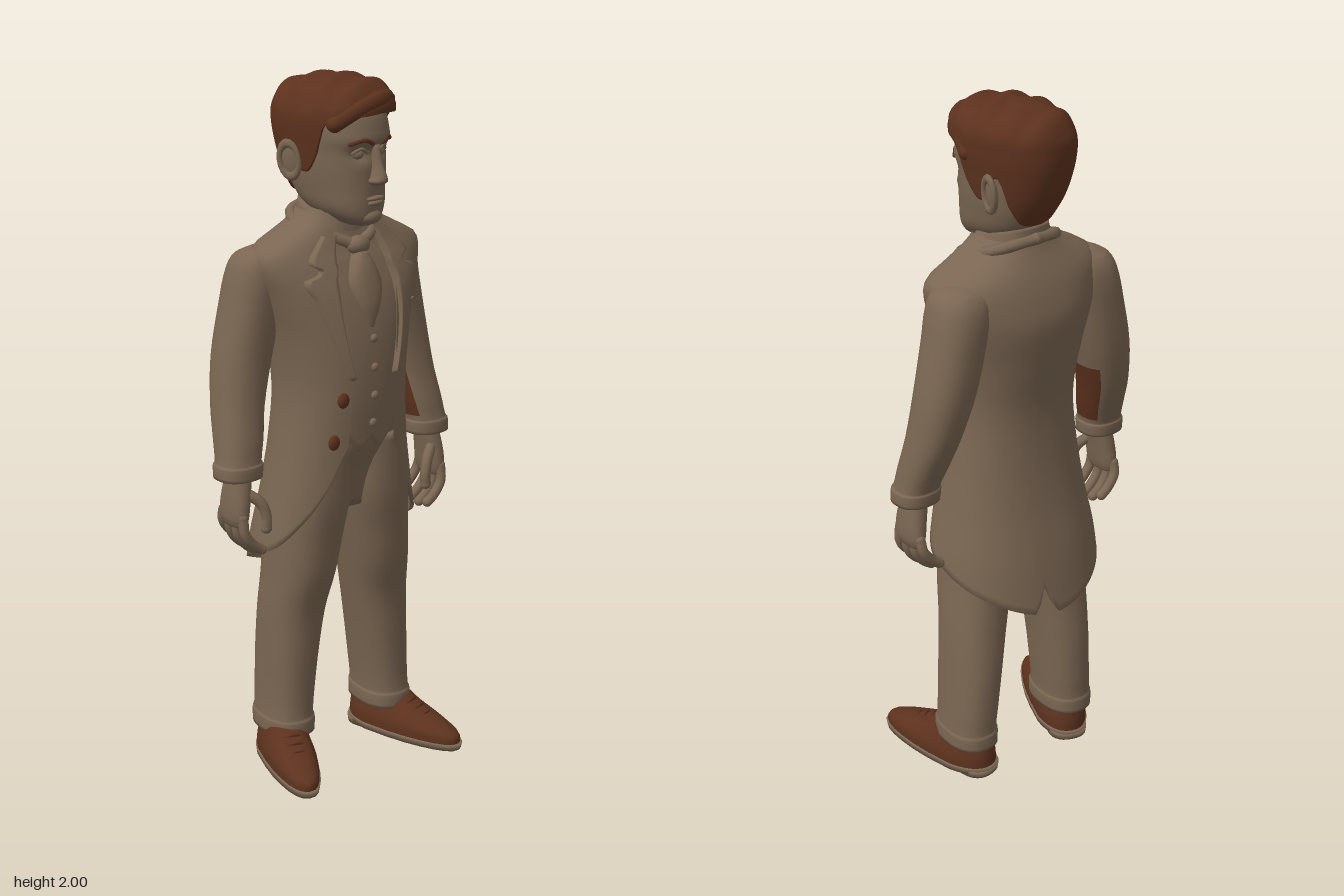
import * as THREE from 'three';
import { mergeVertices } from 'three/addons/utils/BufferGeometryUtils.js';

const cloth = new THREE.MeshStandardMaterial({ name: 'taupe', color: 0x7a6652, side: THREE.DoubleSide });
const brown = new THREE.MeshStandardMaterial({ name: 'chestnut', color: 0x5d321e, side: THREE.DoubleSide });
const E = 0.85; // roundness exponent of every cross-section
const sp = (v) => Math.sign(v) * Math.abs(v) ** E;

// Smoothly interpolate the rows of a table by its first column (height).
function at(T, y) {
  let i = 0;
  while (i < T.length - 2 && y > T[i + 1][0]) i++;
  const a = T[i], b = T[i + 1], p = T[i - 1] || a, q = T[i + 2] || b, h = b[0] - a[0];
  const t = THREE.MathUtils.clamp((y - a[0]) / h, 0, 1), t2 = t * t, t3 = t2 * t;
  return a.map((v, k) => {
    const m0 = (b[k] - p[k]) / (b[0] - p[0]) * h, m1 = (q[k] - v) / (q[0] - a[0]) * h;
    return (2 * t3 - 3 * t2 + 1) * v + (t3 - 2 * t2 + t) * m0 + (3 * t2 - 2 * t3) * b[k] + (t3 - t2) * m1;
  });
}

// Surface from a rule fn(u, v); pick() may send faces to a second material.
function grid(fn, nu, nv, pick) {
  const pos = [], idx = [[], []];
  for (let j = 0; j <= nv; j++) for (let i = 0; i <= nu; i++) pos.push(...fn(i / nu, j / nv, j));
  for (let j = 0; j < nv; j++) for (let i = 0; i < nu; i++) {
    const a = j * (nu + 1) + i, c = a + nu + 1;
    const k = pick && pick(pos[a * 3 + 1], (i + 0.5) / nu) ? 1 : 0;
    idx[k].push(a, a + 1, c, a + 1, c + 1, c);
  }
  let g = new THREE.BufferGeometry();
  g.setAttribute('position', new THREE.Float32BufferAttribute(pos, 3));
  g.setIndex([...idx[0], ...idx[1]]);
  g = mergeVertices(g, 1e-5);
  g.computeVertexNormals();
  if (pick) {
    g.addGroup(0, idx[0].length, 0);
    g.addGroup(idx[0].length, idx[1].length, 1);
  }
  return g;
}

// Closed body through rings [y, cx, cz, rx, zFront, zBack], lowest first.
function loft(T, { n = 28, sub = 4, deform, pick } = {}) {
  const rows = [];
  for (let i = 0; i < T.length - 1; i++)
    for (let k = 0; k < sub; k++) rows.push(at(T, T[i][0] + (T[i + 1][0] - T[i][0]) * k / sub));
  rows.push(T[T.length - 1]);
  const flat = (r) => [r[0], r[1], r[2], 0, 0, 0];
  rows.unshift(flat(rows[0]));
  rows.push(flat(rows[rows.length - 1]));
  return grid((u, v, j) => {
    const [y, cx, cz, rx, zf, zb] = rows[j], s = Math.sin(u * 2 * Math.PI), c = Math.cos(u * 2 * Math.PI);
    const p = [cx + rx * sp(u === 1 ? 0 : s), y, cz + (c > 0 ? zf : zb) * sp(c)];
    return deform ? deform(p) : p;
  }, n, rows.length - 1, pick);
}

function add(parent, name, geo, mat = cloth, p) {
  const m = new THREE.Mesh(geo, mat);
  m.name = name;
  if (p) m.position.set(...p);
  parent.add(m);
  return m;
}
function ball(parent, name, p, s, mat) {
  const m = add(parent, name, new THREE.SphereGeometry(1, 16, 12), mat, p);
  m.scale.set(...s);
  return m;
}
function tube(parent, name, pts, r, mat) {
  const v = pts.map((p) => new THREE.Vector3(...p));
  add(parent, name, new THREE.TubeGeometry(new THREE.CatmullRomCurve3(v), 14, r, 8), mat);
  for (const p of [pts[0], pts[pts.length - 1]]) ball(parent, name + 'End', p, [r, r, r], mat);
}
const part = (parent, name) => { const g = new THREE.Group(); g.name = name; parent.add(g); return g; };

// Coat envelope: height, half width, front depth, back depth
const BODY = [[0.54, 0.27, 0.13, 0.235], [0.7, 0.255, 0.14, 0.21], [0.85, 0.225, 0.15, 0.18], [1, 0.2, 0.158, 0.16],
  [1.15, 0.187, 0.17, 0.155], [1.3, 0.205, 0.165, 0.178], [1.42, 0.24, 0.142, 0.192], [1.5, 0.265, 0.11, 0.175],
  [1.54, 0.255, 0.09, 0.16], [1.57, 0.2, 0.08, 0.145], [1.61, 0.125, 0.07, 0.125], [1.64, 0.1, 0.06, 0.115]];
const HAIR = [[1.66, 0.1, 0.13, 0.1], [1.74, 0.118, 0.14, 0.15], [1.82, 0.13, 0.155, 0.178], [1.88, 0.137, 0.164, 0.185],
  [1.93, 0.132, 0.163, 0.178], [1.97, 0.108, 0.135, 0.145], [1.99, 0.065, 0.085, 0.09], [2, 0, 0, 0]];
const HEAD = [[1.6, 0, 0.07, 0.03, 0.045, 0.05], [1.615, 0, 0.06, 0.06, 0.07, 0.08], [1.65, 0, 0.03, 0.09, 0.105, 0.12],
  [1.7, 0, 0, 0.104, 0.135, 0.13], [1.75, 0, -0.01, 0.112, 0.145, 0.14], [1.8, 0, -0.02, 0.116, 0.157, 0.15],
  [1.86, 0, -0.02, 0.118, 0.163, 0.16], [1.92, 0, -0.02, 0.108, 0.138, 0.15], [1.97, 0, -0.02, 0.07, 0.08, 0.1]];

const depth = (x, rx, zf) => zf * Math.max(0, 1 - (Math.abs(x) / rx) ** (2 / E)) ** (E / 2);
const chest = (x, y, off = 0) => { const r = at(BODY, y); return [x, y, depth(x, r[1], r[2]) + off]; };
const face = (x, y, off = 0) => { const r = at(HEAD, y); return [x, y, r[2] + depth(x, r[3], r[4]) + off]; };

// Open shell around a table, its lower edge hem(phi) given by the angle from the front.
function shell(T, hem, open, top, tuck, deform) {
  return grid((u, v) => {
    const phi = open + u * 2 * (Math.PI - open), low = hem(phi);
    const y = low + (top - low) * Math.max(0, v - 0.02) / 0.98, r = at(T, y);
    const k = v === 0 ? tuck : 1, c = Math.cos(phi);
    const p = [k * r[1] * sp(Math.sin(phi)), y, k * (c > 0 ? r[2] : r[3]) * sp(c)];
    return deform ? deform(p) : p;
  }, 90, 50);
}
const bothSides = (T) => (phi) => at(T, Math.min(phi, 2 * Math.PI - phi))[1];

function buildHead(parent) {
  const head = part(parent, 'head');
  head.rotation.y = 0.25;
  add(head, 'face', loft(HEAD, { n: 56, sub: 6, deform: ([x, y, z]) => {
    const socket = Math.exp(-(((Math.abs(x) - 0.043) / 0.026) ** 2) - ((y - 1.797) / 0.02) ** 2);
    const brow = Math.exp(-(((y - 1.832) / 0.016) ** 2));
    return [x, y, z > 0.03 ? z - 0.02 * socket + 0.006 * brow : z];
  } }));
  add(head, 'nose', loft([[1.712, 0, 0.128, 0.014, 0.025, 0.02], [1.722, 0, 0.128, 0.026, 0.043, 0.02],
    [1.735, 0, 0.128, 0.02, 0.045, 0.02], [1.77, 0, 0.125, 0.013, 0.034, 0.02], [1.82, 0, 0.125, 0.012, 0.022, 0.02]], { n: 16 }));
  ball(head, 'upperLip', face(0, 1.676), [0.034, 0.007, 0.012]);
  ball(head, 'lowerLip', face(0, 1.664), [0.028, 0.008, 0.013]);
  ball(head, 'chin', face(0, 1.625, -0.015), [0.038, 0.022, 0.025]);
  for (const s of [-1, 1]) {
    ball(head, 'eye', face(s * 0.043, 1.795, -0.026), [0.021, 0.015, 0.02]);
    tube(head, 'eyelid', [0.024, 0.043, 0.064].map((x, i) => face(s * x, [1.8, 1.811, 1.8][i], -0.008)), 0.005);
    tube(head, 'eyebrow', [0.02, 0.045, 0.078].map((x, i) => face(s * x, [1.825, 1.836, 1.826][i], 0.004)), 0.006, brown);
    const ear = part(head, 'ear');
    ear.position.set(s * 0.125, 1.768, -0.055);
    ear.rotation.set(-0.12, s * -0.35, s * -0.12);
    ball(ear, 'earBowl', [0, 0, 0], [0.012, 0.05, 0.028]);
    const rim = add(ear, 'earRim', new THREE.TorusGeometry(0.028, 0.008, 8, 20), cloth, [s * 0.008, 0.006, 0]);
    rim.rotation.y = Math.PI / 2;
    rim.scale.y = 1.6;
  }
  const hem = [[0, 1.905], [0.7, 1.895], [1.15, 1.875], [1.35, 1.79], [1.6, 1.745], [1.85, 1.82], [2.1, 1.74], [2.5, 1.685], [3.15, 1.67]];
  add(head, 'hair', shell(HAIR, bothSides(hem), 0, 2, 0.85, ([x, y, z]) => {
    const w = THREE.MathUtils.smoothstep(y, 1.88, 1.95);
    return [x + 0.006 * w, y + w * 0.005 * (Math.sin(z * 75 + x * 18) - 1), z - 0.01];
  }), brown);
  // Swept fringe hanging over the left temple
  tube(head, 'quiff', [[-0.105, 1.88, 0.085], [-0.055, 1.92, 0.128], [0.03, 1.937, 0.13], [0.095, 1.92, 0.09], [0.118, 1.865, 0.035]], 0.023, brown);
}

function buildTorso(parent) {
  const core = BODY.slice(3).map(([y, rx, f, b]) => [y, 0, 0, rx * 0.9, f * 0.9, b * 0.9]);
  add(parent, 'shirtAndHips', loft([[0.8, 0, 0, 0.09, 0.09, 0.11], [0.91, 0, 0, 0.165, 0.115, 0.14], ...core]));
  const hem = bothSides([[0, 1.02], [0.35, 0.99], [0.6, 0.88], [0.85, 0.805], [1.2, 0.735], [1.57, 0.69], [2.4, 0.605], [2.95, 0.55], [3.15, 0.54]]);
  const vent = (phi) => 0.09 * Math.max(0, 1 - Math.abs(phi - 3.02) / 0.1);
  add(parent, 'tailcoat', shell(BODY, (phi) => hem(phi) + vent(phi), 0.35, 1.635, 0.95));
  // Waistcoat with pointed hem and V neck
  add(parent, 'waistcoat', grid((u, v) => {
    const x = (u - 0.5) * 0.22, a = Math.abs(x), low = 0.965 + Math.abs(a - 0.035) * 1.1, top = 1.33 + a * 1.9;
    return chest(x, low + (top - low) * v, v === 0 ? -0.03 : -0.008);
  }, 28, 24));
  for (const y of [1.3, 1.22, 1.14, 1.06]) ball(parent, 'waistcoatButton', chest(0, y, -0.004), [0.012, 0.012, 0.008]);
  ball(parent, 'coatButton', chest(-0.1, 1.14, 0.002), [0.019, 0.022, 0.01], brown);
  ball(parent, 'coatButton', chest(-0.12, 1.02, 0.002), [0.019, 0.022, 0.01], brown);
  // Lapels: a raised band between an inner and an outer edge
  const outer = [[1.19, 0.085], [1.3, 0.125], [1.42, 0.17], [1.47, 0.192], [1.485, 0.15], [1.5, 0.145], [1.515, 0.17], [1.58, 0.11]];
  for (const s of [-1, 1]) {
    add(parent, 'lapel', grid((u, v) => {
      const y = 1.19 + 0.39 * v, inner = 0.066 + 0.03 * Math.sin(v * Math.PI);
      const w = s > 0 ? u : 1 - u, x = inner + (at(outer, y)[1] - inner) * w;
      return chest(s * x, y, w === 0 || w === 1 || v === 0 ? -0.008 : 0.012);
    }, 10, 40));
    tube(parent, 'coatCollar', [[s * 0.115, 1.53, 0.07], [s * 0.122, 1.58, 0], [s * 0.093, 1.62, -0.088], [0, 1.635, -0.118]], 0.016);
  }
  const pocket = add(parent, 'breastPocket', new THREE.BoxGeometry(0.055, 0.016, 0.009), cloth, chest(0.155, 1.37, 0.003));
  pocket.rotation.set(-0.15, 0.55, 0.1);
  // Cravat, shirt collar and neck
  add(parent, 'cravat', loft([[1.33, 0, 0.14, 0.008, 0.015, 0.02], [1.39, 0, 0.132, 0.038, 0.026, 0.02],
    [1.45, 0, 0.115, 0.052, 0.032, 0.02], [1.5, 0, 0.1, 0.036, 0.032, 0.02], [1.53, 0, 0.09, 0.018, 0.025, 0.02]]));
  ball(parent, 'cravatKnot', [0, 1.545, 0.09], [0.036, 0.026, 0.026]);
  for (const s of [-1, 1]) tube(parent, 'cravatBand', [[s * 0.02, 1.55, 0.085], [s * 0.07, 1.575, 0.058], [s * 0.092, 1.61, 0]], 0.016);
  add(parent, 'shirtCollar', loft([[1.52, 0, -0.015, 0.108, 0.085, 0.105], [1.6, 0, -0.015, 0.1, 0.085, 0.1], [1.635, 0, -0.015, 0.092, 0.082, 0.098]],
    { deform: ([x, y, z]) => [x, y - z * 0.3, z] }));
  add(parent, 'neck', loft([[1.5, 0, -0.015, 0.08, 0.08, 0.085], [1.6, 0, -0.01, 0.078, 0.078, 0.085], [1.72, 0, -0.01, 0.08, 0.07, 0.09]]));
}

function buildArm(parent, s) {
  const arm = part(parent, s > 0 ? 'leftArm' : 'rightArm');
  const rings = [[0.93, 0.335, -0.012, 0.066, 0.062], [0.965, 0.333, -0.014, 0.067, 0.063], [0.972, 0.332, -0.015, 0.062, 0.059],
    [1.03, 0.32, -0.03, 0.066, 0.065], [1.12, 0.303, -0.055, 0.07, 0.073], [1.25, 0.275, -0.072, 0.08, 0.08], [1.4, 0.24, -0.072, 0.082, 0.085],
    [1.48, 0.222, -0.067, 0.082, 0.084], [1.525, 0.212, -0.062, 0.07, 0.068], [1.545, 0.205, -0.058, 0.035, 0.035]];
  // Narrow brown panel on the inner forearm
  const pick = (y, u) => y > 0.975 && y < 1.17 && -s * Math.sin(u * 2 * Math.PI) > 0.76;
  add(arm, 'sleeve', loft(rings.map(([y, x, z, rx, rz]) => [y, s * x, z, rx, rz, rz]), { n: 32, pick }), [cloth, brown]);
  const hand = part(arm, 'hand');
  add(hand, 'palm', loft([[0.795, s * 0.352, -0.01, 0.018, 0.045, 0.045], [0.82, s * 0.352, -0.01, 0.026, 0.056, 0.054],
    [0.87, s * 0.347, -0.01, 0.03, 0.054, 0.05], [0.94, s * 0.335, -0.01, 0.032, 0.04, 0.04]]));
  [0, 1, 2, 3].forEach((i) => {
    const z = 0.036 - i * 0.031, d = [0.008, 0, 0.004, 0.022][i];
    tube(hand, 'finger', [[s * 0.355, 0.825, z], [s * 0.352, 0.77 + d, z * 1.15], [s * 0.325, 0.733 + d, z * 1.2], [s * 0.3, 0.715 + d, z * 1.2]], 0.0145);
  });
  tube(hand, 'thumb', [[s * 0.335, 0.89, 0.02], [s * 0.3, 0.86, 0.042], [s * 0.286, 0.82, 0.05], [s * 0.287, 0.785, 0.05]], 0.0155);
}

function buildLeg(parent, s) {
  const leg = part(parent, s > 0 ? 'leftLeg' : 'rightLeg');
  const rings = [[0.1, 0.17, -0.06, 0.077, 0.106, 0.108], [0.14, 0.17, -0.06, 0.077, 0.106, 0.108], [0.15, 0.17, -0.06, 0.073, 0.101, 0.104],
    [0.22, 0.165, -0.06, 0.074, 0.101, 0.106], [0.35, 0.155, -0.05, 0.079, 0.1, 0.114], [0.48, 0.142, -0.04, 0.087, 0.102, 0.112],
    [0.6, 0.126, -0.02, 0.093, 0.115, 0.125], [0.72, 0.112, -0.01, 0.1, 0.123, 0.14], [0.82, 0.1, 0, 0.104, 0.128, 0.14],
    [0.92, 0.093, 0, 0.1, 0.133, 0.135], [1.01, 0.085, 0, 0.092, 0.135, 0.125]];
  // Both feet stand slightly towards the model's left
  const shift = (y) => 0.02 * THREE.MathUtils.clamp((0.8 - y) / 0.6, 0, 1);
  add(leg, 'trouserLeg', loft(rings.map(([y, x, ...r]) => [y, s * x + shift(y), ...r])));
  const shoe = part(leg, 'shoe');
  shoe.position.set(s * 0.176 + 0.018, 0, -0.06);
  shoe.rotation.y = s * 0.29;
  // Narrow the plan towards heel and toe
  const taper = ([x, y, z]) => [x * (1 - 0.1 * Math.max(0, (z - 0.12) / 0.18) - 0.18 * Math.max(0, -z / 0.1)), y, z];
  add(shoe, 'shoeUpper', loft([[0.025, 0, 0, 0.073, 0.298, 0.1], [0.055, 0, 0, 0.073, 0.29, 0.1], [0.08, 0, 0, 0.068, 0.23, 0.097],
    [0.105, 0, 0, 0.061, 0.15, 0.092], [0.135, 0, 0, 0.052, 0.09, 0.085]], { deform: taper }), brown);
  add(shoe, 'sole', loft([[0.01, 0, 0, 0.074, 0.3, 0.104], [0.03, 0, 0, 0.077, 0.305, 0.106]], { sub: 1, deform: taper }));
  add(shoe, 'heel', loft([[0, 0, -0.045, 0.058, 0.06, 0.058], [0.02, 0, -0.045, 0.06, 0.06, 0.061]], { sub: 1 }));
  for (let i = 0; i < 3; i++) {
    const z = 0.115 + i * 0.028, y = 0.121 - i * 0.012;
    tube(shoe, 'lace', [[-0.03, y - 0.012, z], [0, y, z + 0.008], [0.03, y - 0.012, z]], 0.005, brown);
  }
}

export function createModel() {
  const man = new THREE.Group();
  man.name = 'manInTailcoat';
  const upper = part(man, 'upperBody');
  upper.rotation.y = 0.08; // torso turned a little to its left
  buildTorso(upper);
  for (const s of [-1, 1]) {
    buildArm(upper, s);
    buildLeg(man, s);
  }
  buildHead(man);
  return man;
}
